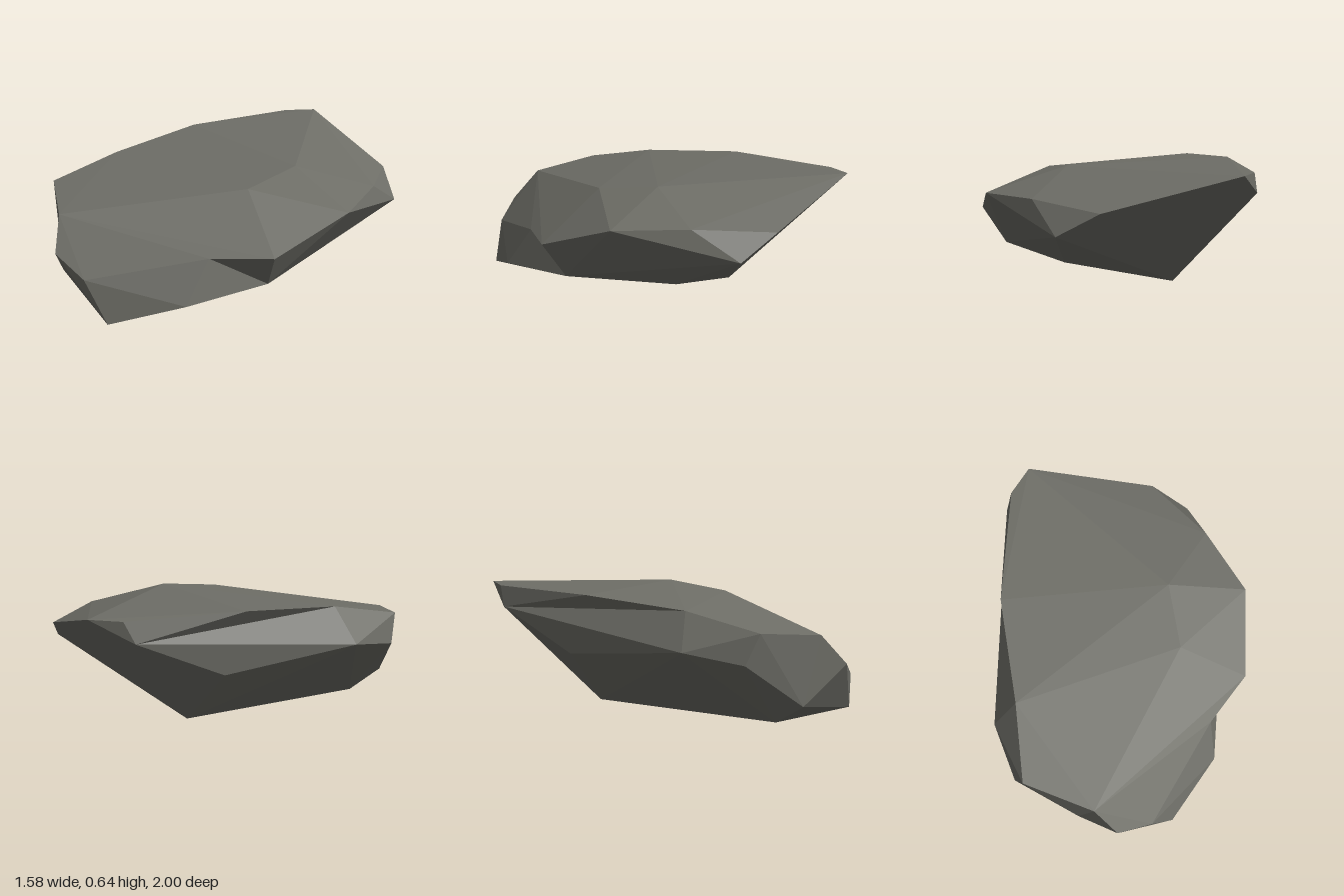
import * as THREE from 'three';
import { ConvexGeometry } from 'three/addons/geometries/ConvexGeometry.js';

export function createModel() {
  const model = new THREE.Group();
  model.name = 'rock';
  const stone = new THREE.MeshStandardMaterial({ color: 0x6e6e67, flatShading: true });
  stone.name = 'grey stone';

  // Corners of the boulder, by region
  const corner = {
    backTip: [0.02, 0.645, -1], backRim: [-0.13, 0.64, -0.91], backChip: [-0.18, 0.53, -0.88],
    sideBack: [0.63, 0.48, -0.67], sideBackLow: [0.775, 0.36, -0.505],
    sideTop: [0.75, 0.51, -0.26], sideFront: [0.785, 0.495, 0.13],
    shoulder: [0.58, 0.345, 0.53], notchTop: [0.29, 0.335, 0.67], notchFoot: [0.49, 0.15, 0.43],
    lip: [0.25, 0.125, 0.82],
    toe: [-0.1, 0.015, 1], noseMid: [-0.235, 0.225, 1], noseTop: [-0.43, 0.315, 0.975],
    brow: [-0.5, 0.47, 0.845],
    crownFront: [0.29, 0.58, 0.29], crownSide: [0.39, 0.625, -0.04], crownRidge: [-0.45, 0.64, -0.36],
    ridgeFront: [-0.62, 0.595, 0.18],
    cheekTop: [-0.765, 0.515, 0.56], cheekLow: [-0.79, 0.36, 0.49], flank: [-0.76, 0.41, 0.18],
    flankLow: [-0.39, 0.32, -0.46], jaw: [-0.56, 0.115, 0.765],
    baseFront: [-0.45, 0.003, 0.625], baseBack: [-0.06, 0, -0.37], baseSide: [0.485, 0.135, -0.15],
  };
  const addHull = (name, keys) => {
    const points = keys.map((k) => new THREE.Vector3(...corner[k]));
    const mesh = new THREE.Mesh(new ConvexGeometry(points), stone);
    mesh.name = name;
    model.add(mesh);
  };

  // Main mass, without the corners that belong to the nose and the ridge
  const extras = ['lip', 'toe', 'noseMid', 'noseTop', 'crownRidge', 'backRim'];
  addHull('body', Object.keys(corner).filter((k) => !extras.includes(k)));

  // Top ridge, overhanging the flank in a shallow crease
  addHull('ridge', ['crownRidge', 'backRim', 'backChip', 'backTip', 'ridgeFront',
    'crownSide', 'crownFront', 'brow', 'sideBack']);

  // Nose, leaving the notch under the shoulder
  addHull('nose', ['lip', 'toe', 'noseMid', 'noseTop', 'brow', 'notchTop', 'notchFoot',
    'jaw', 'baseFront', 'baseBack', 'baseSide']);
  return model;
}
